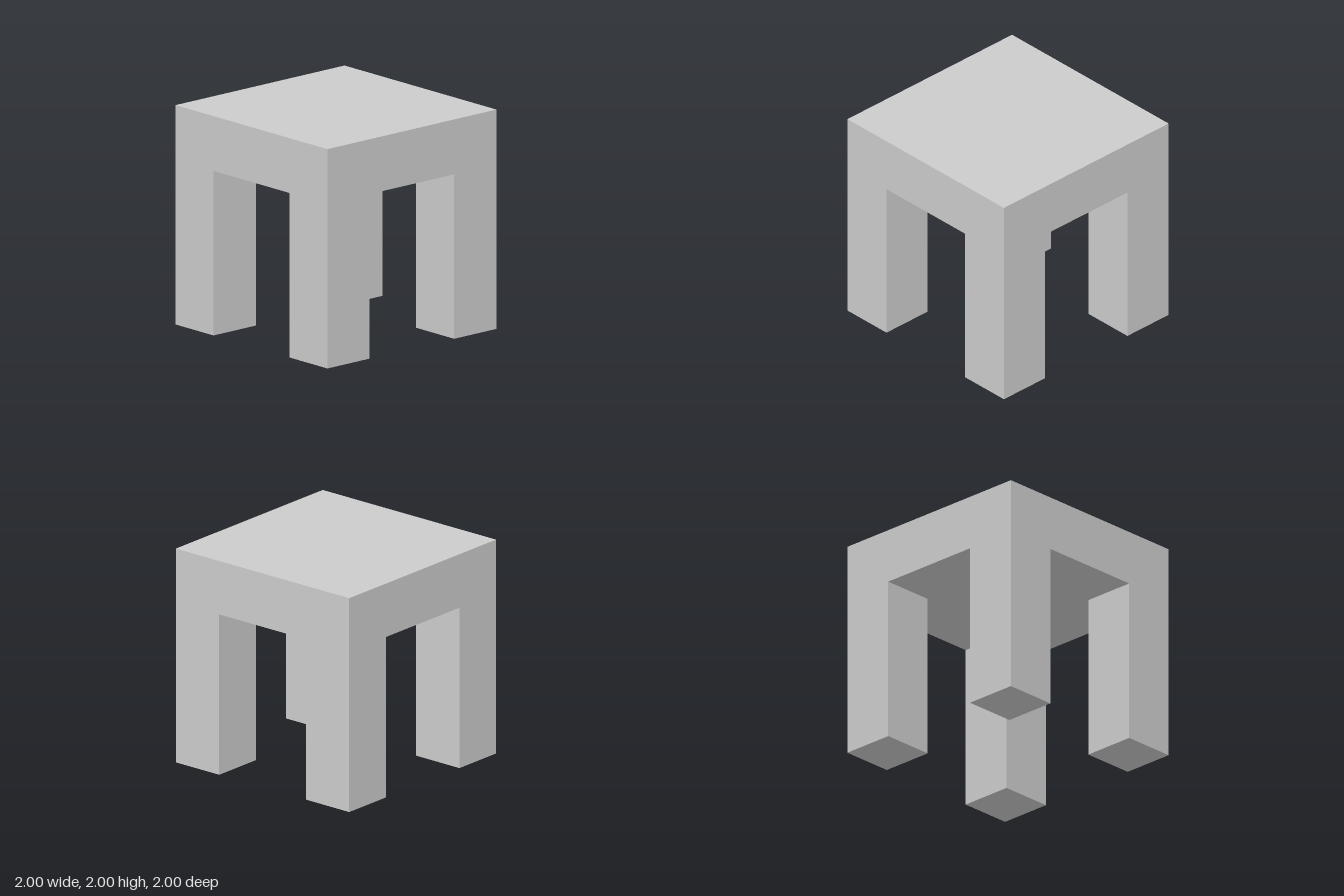
import * as THREE from 'three';

const SIZE = 2;        // overall width, depth and height
const SLAB = 0.5;      // thickness of the top
const LEG = 0.5;       // side of each square leg

export function createModel() {
  const model = new THREE.Group();
  model.name = 'table';
  const material = new THREE.MeshStandardMaterial({ color: 0xcccccc, flatShading: true });

  const addBox = (name, w, h, d, x, y, z) => {
    const mesh = new THREE.Mesh(new THREE.BoxGeometry(w, h, d), material);
    mesh.name = name;
    mesh.position.set(x, y, z);
    model.add(mesh);
  };

  // Thick square top
  addBox('tableTop', SIZE, SLAB, SIZE, 0, SIZE - SLAB / 2, 0);

  // Four square legs, flush with the corners of the top
  const legHeight = SIZE - SLAB;
  const offset = (SIZE - LEG) / 2;
  for (const [side, sx] of [['Left', 1], ['Right', -1]]) {
    for (const [end, sz] of [['front', 1], ['back', -1]]) {
      addBox(`${end}${side}Leg`, LEG, legHeight, LEG, sx * offset, legHeight / 2, sz * offset);
    }
  }

  return model;
}
